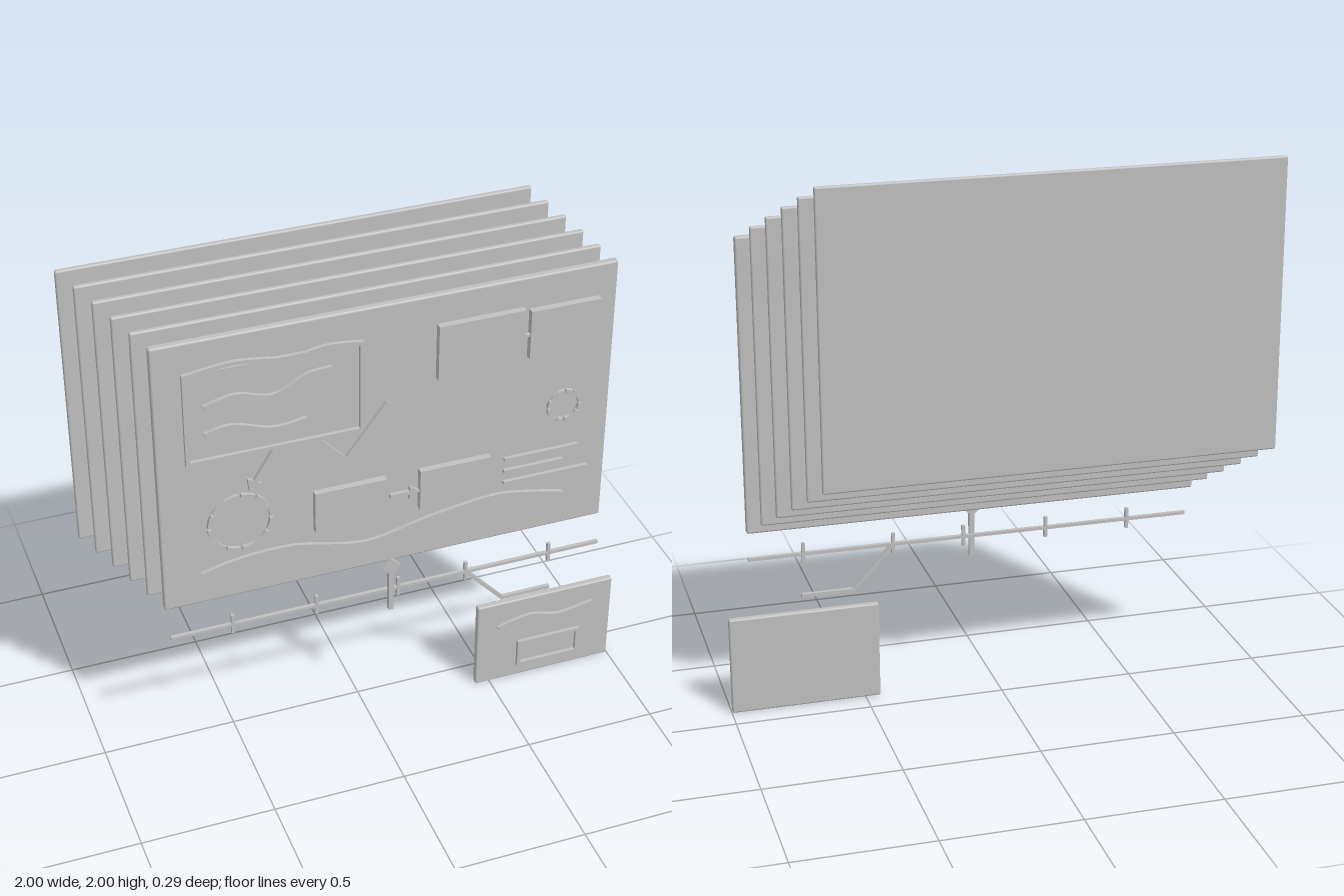
import * as THREE from 'three';
import { RoundedBoxGeometry } from 'three/addons/geometries/RoundedBoxGeometry.js';

const STROKE = 0.014; // line width
const Z0 = 0.121, Z1 = 0.135; // depth range of drawn lines

export function createModel() {
  const model = new THREE.Group();
  const grey = new THREE.MeshStandardMaterial({ color: 0xbfbfbf });
  grey.name = 'board grey';

  const add = (name, geometry) => {
    const mesh = new THREE.Mesh(geometry, grey);
    mesh.name = name;
    model.add(mesh);
    return mesh;
  };

  // Box from its limits, optionally with softened edges
  const block = (name, x0, x1, y0, y1, z0 = Z0, z1 = Z1, radius = 0) => {
    const s = [x1 - x0, y1 - y0, z1 - z0];
    const g = radius ? new RoundedBoxGeometry(...s, 2, radius) : new THREE.BoxGeometry(...s);
    g.translate((x0 + x1) / 2, (y0 + y1) / 2, (z0 + z1) / 2);
    return add(name, g);
  };

  const plate = (name, shape, z0 = Z0, z1 = Z1) => {
    const g = new THREE.ExtrudeGeometry(shape, { depth: z1 - z0, bevelEnabled: false, curveSegments: 4 });
    g.translate(0, 0, z0);
    return add(name, g);
  };

  const polygon = (name, points, z0, z1) =>
    plate(name, new THREE.Shape(points.map(([x, y]) => new THREE.Vector2(x, y))), z0, z1);

  // Flat ribbon with mitred corners along a path
  const ribbon = (name, points, smooth = true, width = STROKE) => {
    let path = points.map(([x, y]) => new THREE.Vector2(x, y));
    if (smooth) path = new THREE.SplineCurve(path).getPoints(28);
    const left = [], right = [];
    path.forEach((p, i) => {
      const a = path[Math.max(i - 1, 0)], b = path[Math.min(i + 1, path.length - 1)];
      const d1 = (i ? p.clone().sub(a) : b.clone().sub(p)).normalize();
      const d2 = (i < path.length - 1 ? b.clone().sub(p) : d1.clone()).normalize();
      const t = d1.clone().add(d2).normalize();
      const n = new THREE.Vector2(-t.y, t.x).multiplyScalar(width / 2 / t.dot(d1));
      left.push(p.clone().add(n));
      right.unshift(p.clone().sub(n));
    });
    return plate(name, new THREE.Shape([...right, ...left]));
  };

  // Rectangular outline
  const frame = (name, x0, x1, y0, y1, w = STROKE) => {
    const rect = (C, d) => new C([
      new THREE.Vector2(x0 + d, y0 + d), new THREE.Vector2(x1 - d, y0 + d),
      new THREE.Vector2(x1 - d, y1 - d), new THREE.Vector2(x0 + d, y1 - d),
    ]);
    const shape = rect(THREE.Shape, 0);
    shape.holes.push(rect(THREE.Path, w));
    plate(name, shape);
  };

  // Circle made of short arc dashes
  const dashedRing = (name, cx, cy, r, dashes) => {
    const step = (Math.PI * 2) / dashes;
    for (let i = 0; i < dashes; i++) {
      const a = i * step + 0.04, b = (i + 1) * step - 0.04;
      const s = new THREE.Shape();
      s.absarc(cx, cy, r + STROKE / 2, a, b, false);
      s.absarc(cx, cy, r - STROKE / 2, b, a, true);
      s.closePath();
      plate(name, s);
    }
  };

  // Stack of boards stepping up and to one side towards the back
  block('frontBoard', -0.765, 0.92, 0.70, 1.79, 0.083, 0.113, 0.008);
  for (let i = 1; i <= 5; i++) {
    const x = -0.765 - i * 0.047, y = 0.70 + i * 0.042, z = 0.1 - i * 0.0467;
    block('rearBoard', x, x + 1.685, y, y + 1.09, z - 0.01, z + 0.01, 0.007);
  }

  // Note frame with wavy lines
  frame('noteFrame', -0.665, -0.025, 1.312, 1.678);
  ribbon('noteTopWave', [[-0.66, 1.67], [-0.48, 1.69], [-0.29, 1.667], [-0.15, 1.683], [-0.03, 1.67]]);
  ribbon('noteWave', [[-0.594, 1.535], [-0.48, 1.56], [-0.35, 1.53], [-0.23, 1.585], [-0.14, 1.595]]);
  ribbon('noteWave', [[-0.594, 1.425], [-0.497, 1.44], [-0.35, 1.397], [-0.23, 1.41]]);

  // Arrow down to the large ring, and check mark
  ribbon('noteArrow', [[-0.348, 1.312], [-0.425, 1.188]], false);
  polygon('noteArrowHead', [[-0.445, 1.158], [-0.4, 1.182], [-0.45, 1.21]]);
  ribbon('checkMark', [[-0.19, 1.308], [-0.09, 1.203], [0.065, 1.408]], false, 0.016);

  dashedRing('largeRing', -0.48, 1.03, 0.113, 12);
  dashedRing('smallRing', 0.738, 1.24, 0.06, 12);

  // Raised cards and their connectors
  block('upperCard', 0.246, 0.567, 1.46, 1.677, 0.114, 0.14);
  block('upperCard', 0.588, 0.85, 1.473, 1.666, 0.114, 0.14);
  block('upperConnector', 0.567, 0.588, 1.565, 1.575);
  block('lowerCard', -0.208, 0.061, 0.922, 1.088, 0.114, 0.14);
  block('lowerCard', 0.187, 0.457, 0.922, 1.088, 0.114, 0.14);
  block('flowArrow', 0.075, 0.15, 0.995, 1.01);
  polygon('flowArrowHead', [[0.148, 0.975], [0.187, 1.003], [0.148, 1.03]]);

  // Text rules and long wave
  for (const [y, end] of [[1.056, 0.80], [1.004, 0.743], [0.953, 0.845]])
    block('textRule', 0.513, end, y - 0.006, y + 0.006);
  ribbon('longWave', [[-0.63, 0.837], [-0.48, 0.869], [-0.28, 0.874], [-0.02, 0.822],
    [0.22, 0.869], [0.46, 0.903], [0.6, 0.888], [0.75, 0.853]]);

  // Timeline with ticks, marker and branch
  block('timeline', -0.754, 0.912, 0.578, 0.59);
  for (const x of [-0.523, -0.205, 0.111, 0.377, 0.711])
    block('timelineTick', x - 0.006, x + 0.006, 0.548, 0.627);
  block('markerStem', 0.068, 0.087, 0.5, 0.675, 0.128, 0.147);
  polygon('markerDiamond', [[0.0775, 0.658], [0.1145, 0.695], [0.0775, 0.732], [0.0405, 0.695]], 0.128, 0.147);
  ribbon('branch', [[0.383, 0.578], [0.528, 0.42], [0.722, 0.42]], false);

  // Separate small board
  block('smallBoard', 0.443, 0.998, 0, 0.372, 0.086, 0.113, 0.007);
  ribbon('smallWave', [[0.519, 0.27], [0.65, 0.297], [0.77, 0.272], [0.914, 0.295]]);
  frame('smallFrame', 0.605, 0.862, 0.062, 0.18);

  return model;
}
